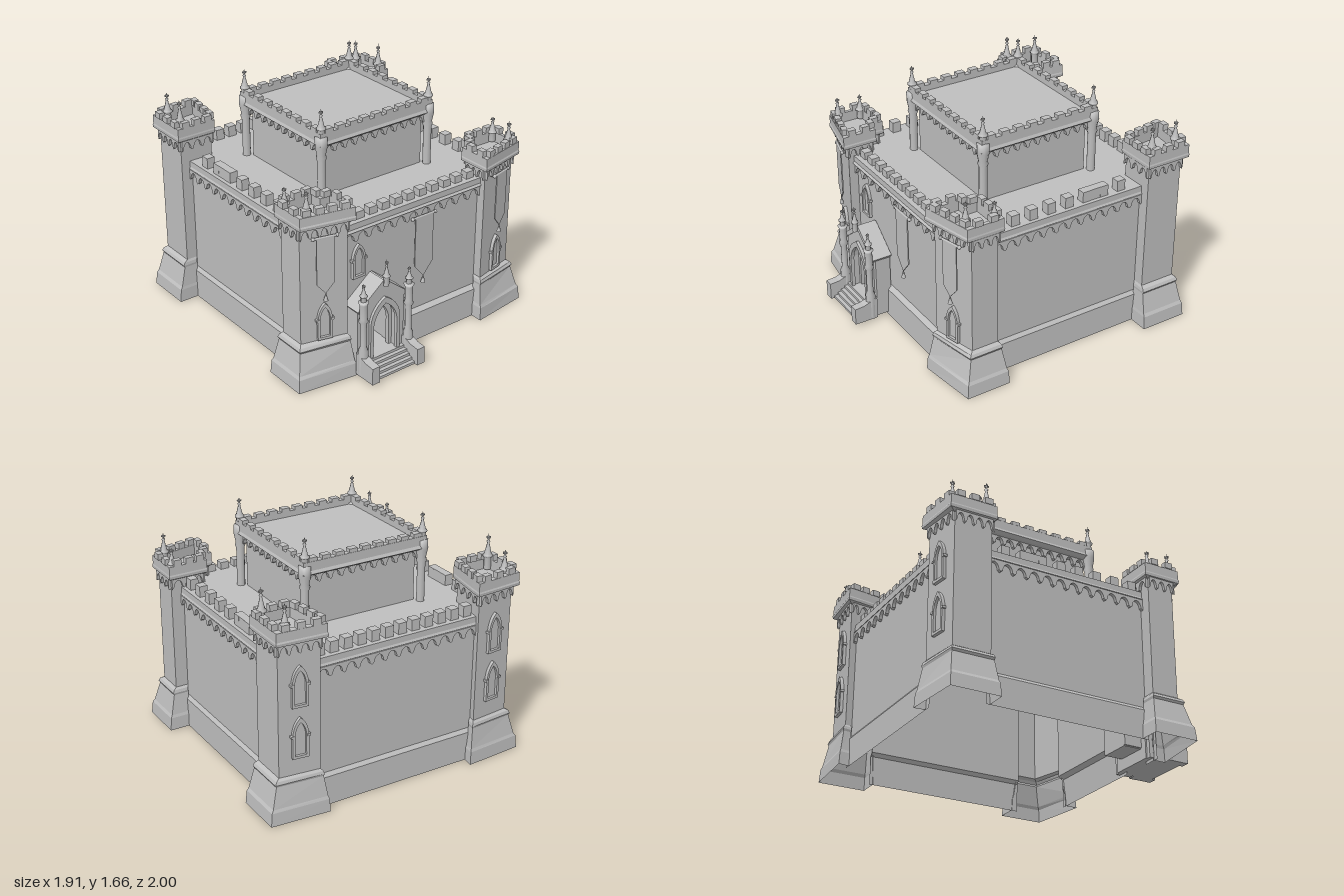
import * as THREE from 'three';

const stone = new THREE.MeshStandardMaterial({ color: 0xbfbfbf, side: THREE.DoubleSide });
stone.name = 'stone';

const mesh = (geo, name, x = 0, y = 0, z = 0) => {
  const m = new THREE.Mesh(geo, stone);
  m.name = name;
  m.position.set(x, y, z);
  return m;
};
const box = (w, h, d, name, x, y, z) => mesh(new THREE.BoxGeometry(w, h, d), name, x, y, z);
const vecs = (pts) => pts.map(([a, b]) => new THREE.Vector2(a, b));
const lathe = (pts, n) => new THREE.LatheGeometry(vecs(pts), n);
const extrude = (shape, depth) => new THREE.ExtrudeGeometry(shape, { depth, bevelEnabled: false, curveSegments: 6 });
const mix = (body, foot, t) => body.map((p, i) => [p[0] + t * (foot[i][0] - p[0]), p[1] + t * (foot[i][1] - p[1])]);
const rect = (x, zf, zb) => [[-x, zf], [x, zf], [x, zb], [-x, zb]];
const mirror = (poly) => poly.map(([x, z]) => [-x, z]).reverse();

// Stacked outlines joined into a shell; each level is [height, blend from body to foot].
// Wall i is left open below starts[i].
function shell(body, foot, levels, name, starts = []) {
  const pos = [], n = body.length;
  for (let k = 0; k + 1 < levels.length; k++) {
    const lo = mix(body, foot, levels[k][1]), hi = mix(body, foot, levels[k + 1][1]);
    const y0 = levels[k][0], y1 = levels[k + 1][0];
    for (let i = 0; i < n; i++) {
      if (y0 < (starts[i] || 0)) continue;
      const j = (i + 1) % n;
      const a = [lo[i][0], y0, lo[i][1]], b = [lo[j][0], y0, lo[j][1]];
      const c = [hi[j][0], y1, hi[j][1]], d = [hi[i][0], y1, hi[i][1]];
      pos.push(...a, ...b, ...c, ...a, ...c, ...d);
    }
  }
  const geo = new THREE.BufferGeometry();
  geo.setAttribute('position', new THREE.Float32BufferAttribute(pos, 3));
  geo.computeVertexNormals();
  const g = new THREE.Group();
  g.name = name;
  const [yTop, tTop] = levels[levels.length - 1];
  const outline = mix(body, foot, tTop).map(([x, z]) => [x, -z]);
  const roof = mesh(new THREE.ShapeGeometry(new THREE.Shape(vecs(outline))), 'roof', 0, yTop, 0);
  roof.rotation.x = -Math.PI / 2;
  g.add(mesh(geo, 'walls'), roof);
  return g;
}

// Set an object on the wall line a-b, facing outward
function place(obj, a, b, f, y, out = 0) {
  const dx = b[0] - a[0], dz = b[1] - a[1], L = Math.hypot(dx, dz);
  obj.position.set(a[0] + dx * f - dz / L * out, y, a[1] + dz * f + dx / L * out);
  obj.rotation.y = Math.atan2(-dz, dx);
  return obj;
}
const span = (a, b) => Math.hypot(b[0] - a[0], b[1] - a[1]);

function merlons(g, a, b, y, h, thick, len, step) {
  const n = Math.round(span(a, b) / step);
  for (let i = 0; i < n; i++) g.add(place(box(len, h, thick, 'merlon'), a, b, (i + 0.5) / n, y + h / 2));
}

// Row of small arches hanging under a parapet
function corbels(g, a, b, top, h, depth, step) {
  const L = span(a, b), n = Math.max(1, Math.round(L / step)), c = L / n;
  const s = new THREE.Shape();
  s.moveTo(-L / 2, 0);
  for (let i = 0; i < n; i++) {
    const x = -L / 2 + i * c;
    s.lineTo(x, -h);
    s.lineTo(x + c * 0.14, -h * 0.85);
    s.quadraticCurveTo(x + c * 0.2, -h * 0.25, x + c * 0.5, -h * 0.2);
    s.quadraticCurveTo(x + c * 0.8, -h * 0.25, x + c * 0.86, -h * 0.85);
    s.lineTo(x + c, -h);
  }
  s.lineTo(L / 2, 0);
  g.add(place(mesh(extrude(s, depth), 'corbelArches'), a, b, 0.5, top, -0.003));
}

function arch(Kind, w, y0, h, spring = 0.6) {
  const p = new Kind(), ys = y0 + h * spring;
  p.moveTo(-w, y0);
  p.lineTo(w, y0);
  p.lineTo(w, ys);
  p.quadraticCurveTo(w * 0.9, y0 + h * 0.86, 0, y0 + h);
  p.quadraticCurveTo(-w * 0.9, y0 + h * 0.86, -w, ys);
  return p;
}
function archRing(w, h, wIn, hIn, depth, name, z) {
  const s = arch(THREE.Shape, w, 0.105, h);
  s.holes.push(arch(THREE.Path, wIn, 0.106, hIn));
  return mesh(extrude(s, depth), name, 0, 0, z);
}

// Pointed window with a raised frame and hood
function windowFrame(w, h) {
  const g = new THREE.Group();
  g.name = 'window';
  const s = arch(THREE.Shape, w, 0, h, 0.55);
  s.holes.push(arch(THREE.Path, w * 0.68, 0.018, h * 0.82, 0.62));
  g.add(mesh(extrude(s, 0.022), 'windowFrame'));
  g.add(mesh(extrude(arch(THREE.Shape, w * 0.7, 0.01, h * 0.84), 0.005), 'windowPane'));
  for (const x of [-w, w]) g.add(box(0.022, 0.016, 0.026, 'hoodStop', x, h * 0.55, 0.013));
  return g;
}

// Hanging pennant: rod, cloth and tassel; origin at the rod
function banner(w, side, tip) {
  const g = new THREE.Group();
  g.name = 'banner';
  const s = new THREE.Shape(vecs([[-w, 0], [w, 0], [w, -side], [0, -tip], [-w, -side]]));
  const rod = mesh(new THREE.CylinderGeometry(0.009, 0.009, w * 2 + 0.04, 8), 'bannerRod');
  rod.rotation.z = Math.PI / 2;
  g.add(mesh(extrude(s, 0.008), 'bannerCloth'), rod);
  for (const k of [-1, 1]) g.add(mesh(new THREE.SphereGeometry(0.013, 8, 6), 'rodKnob', k * (w + 0.02)));
  g.add(mesh(new THREE.ConeGeometry(0.016, 0.06, 8), 'tassel', 0, -tip - 0.02, 0.006));
  return g;
}

// Gothic pinnacle with a crossed finial
function pinnacle(x, y, z, h, r) {
  const g = new THREE.Group();
  g.name = 'pinnacle';
  const prof = [[1, 0], [1, 0.32], [1.4, 0.35], [1.4, 0.4], [1, 0.43], [0.3, 0.74], [0.55, 0.77], [0.2, 0.82], [0.45, 0.88], [0.15, 0.92], [0, 1]];
  g.add(mesh(lathe(prof.map(([a, b]) => [a * r, b * h]), 8), 'spire'));
  g.add(box(r * 1.3, h * 0.035, r * 0.35, 'finialArm', 0, h * 0.88), box(r * 0.35, h * 0.035, r * 1.3, 'finialArm', 0, h * 0.88));
  g.position.set(x, y, z);
  return g;
}

// Flared foot and shaft, topped by a wider battlemented crown
function tower(body, foot, rim, starts, y, name) {
  const g = shell(body, foot, [[0, 1], [0.09, 0.9], [0.11, 0.75], [0.25, 0.32], [0.265, 0.42], [0.285, 0.3], [0.3, 0], [1, 0], [y, 0]], name, starts);
  g.add(shell(body, rim, [[y, 0], [y + 0.02, 0.95], [y + 0.04, 1], [y + 0.05, 0.9], [y + 0.11, 0.9], [y + 0.11, -0.1], [y + 0.04, -0.1]], 'crown'));
  const line = mix(body, rim, 0.4);
  body.forEach((p, i) => {
    const j = (i + 1) % body.length;
    corbels(g, p, body[j], y + 0.015, 0.075, 0.022, 0.07);
    merlons(g, line[i], line[j], y + 0.11, 0.042, 0.04, 0.055, 0.095);
  });
  return g;
}

// Entrance with gable, deep doorway, columns and stairs
function portal() {
  const g = new THREE.Group();
  g.name = 'portal';
  const s = new THREE.Shape(vecs([[-0.165, 0.02], [0.165, 0.02], [0.165, 0.49], [0, 0.625], [-0.165, 0.49]]));
  s.holes.push(arch(THREE.Path, 0.105, 0.105, 0.4));
  g.add(mesh(extrude(s, 0.14), 'gable', 0, 0, 0.7));
  g.add(archRing(0.12, 0.42, 0.095, 0.375, 0.025, 'archMoulding', 0.835));
  g.add(archRing(0.104, 0.395, 0.08, 0.34, 0.03, 'innerArch', 0.765));
  g.add(archRing(0.12, 0.42, 0.11, 0.4, 0.13, 'doorwayVault', 0.57));
  g.add(mesh(extrude(arch(THREE.Shape, 0.112, 0.105, 0.405), 0.008), 'door', 0, 0, 0.57));
  for (const k of [-1, 1]) {
    const x = k * 0.185;
    const slope = box(0.265, 0.03, 0.14, 'gableRoof', k * 0.1, 0.55, 0.775);
    slope.rotation.z = -k * 0.675;
    const col = mesh(lathe([[0.034, 0.02], [0.034, 0.2], [0.022, 0.23], [0.022, 0.4], [0.033, 0.42],
      [0.026, 0.44], [0.026, 0.54], [0.036, 0.56], [0, 0.57]], 10), 'column', x, 0, 0.865);
    const side = new THREE.Shape(vecs([[0.83, 0.02], [1, 0.02], [1, 0.14], [0.93, 0.145], [0.83, 0.18]]));
    const flank = mesh(extrude(side, 0.06), 'stairFlank', x + 0.03);
    flank.rotation.y = -Math.PI / 2;
    g.add(slope, col, flank, pinnacle(x, 0.55, 0.865, 0.14, 0.019), box(0.05, 0.47, 0.11, 'buttress', k * 0.17, 0.255, 0.765));
  }
  for (let i = 0; i < 5; i++) {
    const h = 0.018 * (i + 1), zf = 0.975 - i * 0.027;
    g.add(box(0.32, h, zf - 0.74, 'step', 0, 0.02 + h / 2, (zf + 0.74) / 2));
  }
  g.add(box(0.22, 0.01, 0.18, 'threshold', 0, 0.105, 0.66), pinnacle(0, 0.61, 0.862, 0.19, 0.018));
  g.position.x = -0.335;
  return g;
}

export function createModel() {
  const model = new THREE.Group();
  model.name = 'castle';

  // Main block: four walls between the towers, with a gap for the doorway
  const hallBody = [[-0.57, 0.7], [-0.445, 0.7], [-0.225, 0.7], [0.57, 0.7], [0.79, 0.5], [0.79, -0.66], [0.6, -0.9], [-0.6, -0.9], [-0.79, -0.66], [-0.79, 0.5]];
  const hallFoot = hallBody.map(([x, z], i) => i < 4 ? [x, 0.74] : i === 6 || i === 7 ? [x, -0.925] : [Math.sign(x) * 0.815, z]);
  const hall = shell(hallBody, hallFoot, [[0, 1], [0.2, 0.8], [0.225, 0], [0.5, 0], [0.97, 0], [0.985, 0.9], [1.0, 0.6], [1.04, 0.6]],
    'mainHall', [0, 0.45, 0, 9, 0, 9, 0, 9, 0, 9]);
  const runs = [[[-0.57, 0.7], [0.57, 0.7]], [[0.79, 0.5], [0.79, -0.66]], [[0.6, -0.9], [-0.6, -0.9]], [[-0.79, -0.66], [-0.79, 0.5]]];
  const tops = [[[-0.56, 0.66], [0.56, 0.66]], [[0.75, 0.51], [0.75, -0.58]], [[0.6, -0.855], [-0.6, -0.855]], [[-0.75, -0.58], [-0.75, 0.51]]];
  runs.forEach(([a, b]) => corbels(hall, a, b, 0.98, 0.075, 0.025, 0.1));
  tops.forEach(([a, b], i) => merlons(hall, a, b, 1.04, i ? 0.075 : 0.05, 0.058, 0.062, i % 2 ? 0.137 : 0.104));
  for (const x of [-0.75, 0.75]) hall.add(box(0.056, 0.075, 0.14, 'longMerlon', x, 1.0775, -0.3));
  model.add(hall);

  // Upper keep
  const kb = rect(0.41, 0.3, -0.48), kf = rect(0.47, 0.36, -0.55);
  const keep = shell(kb, kf, [[1.04, 0], [1.385, 0], [1.405, 0.7], [1.42, 1], [1.44, 0.85], [1.5, 0.85], [1.5, 0.2], [1.46, 0.2]], 'keep');
  const mid = mix(kb, kf, 0.5);
  kb.forEach((p, i) => {
    const j = (i + 1) % 4, [x, z] = mid[i];
    corbels(keep, p, kb[j], 1.405, 0.065, 0.03, 0.082);
    merlons(keep, mid[i], mid[j], 1.5, 0.025, 0.044, 0.06, 0.1);
    keep.add(pinnacle(x, 1.45, z, 0.215, 0.023), mesh(lathe([[0.028, 1.04], [0.028, 1.31], [0.036, 1.33], [0.03, 1.35],
      [0.042, 1.41], [0.042, 1.47], [0, 1.48]], 10), 'cornerColumn', x, 0, z));
  });
  model.add(keep);

  // Corner towers, open towards the hall below its roof
  const frontBody = [[0.57, 0.765], [0.88, 0.69], [0.88, 0.5], [0.79, 0.5], [0.645, 0.5], [0.645, 0.59], [0.57, 0.59], [0.57, 0.7]];
  const frontFoot = [[0.535, 0.825], [0.955, 0.77], [0.955, 0.455], [0.81, 0.455], [0.61, 0.455], [0.61, 0.56], [0.535, 0.56], [0.535, 0.735]];
  const frontRim = [[0.535, 0.815], [0.905, 0.735], [0.905, 0.465], [0.79, 0.465], [0.62, 0.465], [0.62, 0.565], [0.535, 0.565], [0.535, 0.7]];
  const backBody = [[0.63, -0.66], [0.79, -0.66], [0.87, -0.66], [0.87, -0.92], [0.59, -0.95], [0.6, -0.9]];
  const backFoot = [[0.61, -0.635], [0.81, -0.635], [0.955, -0.635], [0.955, -0.97], [0.545, -1.0], [0.555, -0.925]];
  const backRim = [[0.61, -0.635], [0.79, -0.635], [0.9, -0.635], [0.9, -0.965], [0.555, -0.99], [0.565, -0.9]];
  for (const k of [1, -1]) {
    const side = (p) => k > 0 ? p : mirror(p);
    const front = tower(side(frontBody), side(frontFoot), side(frontRim), k > 0 ? [0, 0, 0, 1, 1, 1, 1, 0] : [1, 1, 1, 1, 0, 0, 0, 0], 1.1, 'frontTower');
    const [fa, fb] = side([frontBody[0], frontBody[1]]);
    front.add(place(banner(0.06, 0.32, 0.39), fa, fb, 0.5, 1.04, 0.025));
    front.add(place(windowFrame(0.05, 0.26), fa, fb, 0.5, 0.31));
    front.add(pinnacle(k * 0.83, 1.15, 0.7, 0.22, 0.024), pinnacle(k * 0.86, 1.15, 0.515, 0.18, 0.024));
    const back = tower(side(backBody), side(backFoot), side(backRim), k > 0 ? [1, 0, 0, 0, 0, 1] : [0, 0, 0, 0, 1, 1], 1.19, 'backTower');
    const [ba, bb] = side([backBody[3], backBody[4]]);
    for (const y of [0.42, 0.77]) back.add(place(windowFrame(0.055, 0.28), ba, bb, 0.5, y));
    back.add(pinnacle(k * 0.81, 1.24, -0.91, 0.22, 0.024), pinnacle(k * 0.845, 1.24, -0.69, 0.25, 0.024));
    model.add(front, back);
  }

  // Front details
  const [a, b] = runs[0];
  model.add(place(banner(0.075, 0.35, 0.44), a, b, 0.575, 0.915, 0.025));
  model.add(place(windowFrame(0.05, 0.24), a, b, 0.115, 0.64));
  model.add(portal());
  return model;
}
